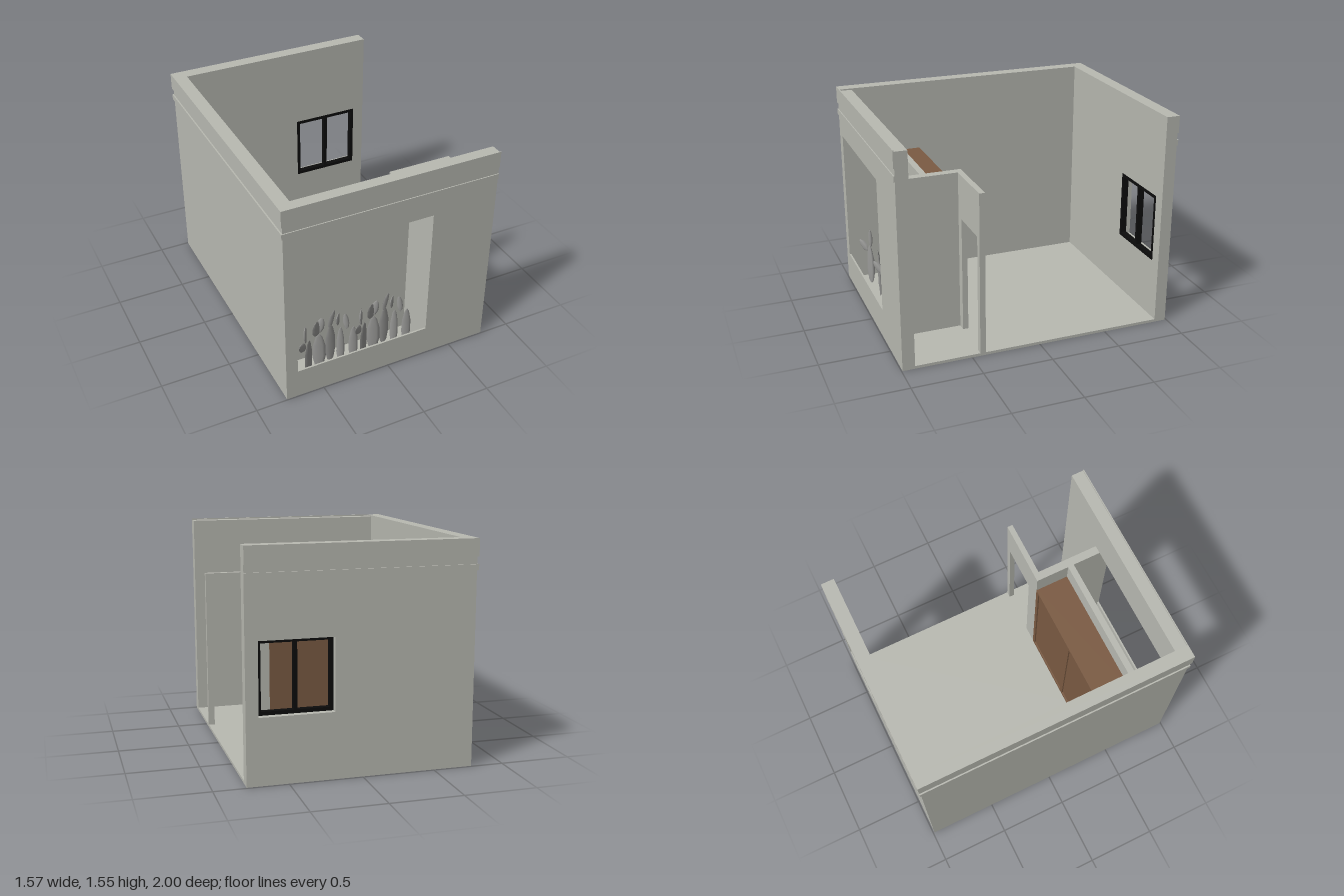
import * as THREE from 'three';

const mat = (name, color) => {
  const m = new THREE.MeshStandardMaterial({ color });
  m.name = name;
  return m;
};

export function createModel() {
  const root = new THREE.Group();
  root.name = 'roomCutaway';
  const plaster = mat('plaster', 0xb9bab2);
  const wood = mat('wood', 0x7b5b43);
  const black = mat('frameBlack', 0x0c0c0c);
  const foliage = mat('greyFoliage', 0x9a9a98);

  const add = (name, geo, m, parent = root) => {
    const mesh = new THREE.Mesh(geo, m);
    mesh.name = name;
    parent.add(mesh);
    return mesh;
  };
  // Box given by its minimum and maximum corners
  const box = (name, m, x0, x1, y0, y1, z0, z1, parent) => {
    const mesh = add(name, new THREE.BoxGeometry(x1 - x0, y1 - y0, z1 - z0), m, parent);
    mesh.position.set((x0 + x1) / 2, (y0 + y1) / 2, (z0 + z1) / 2);
    return mesh;
  };
  const rect = (x0, x1, y0, y1) => [[x0, y0], [x1, y0], [x1, y1], [x0, y1]];
  const vecs = (pts) => pts.map(([x, y]) => new THREE.Vector2(x, y));
  // Upright panel with rectangular openings, between z0 and z1
  const panel = (name, m, outline, holes, z0, z1, parent) => {
    const shape = new THREE.Shape(vecs(outline));
    holes.forEach((h) => shape.holes.push(new THREE.Path(vecs(h))));
    const geo = new THREE.ExtrudeGeometry(shape, { depth: z1 - z0, bevelEnabled: false });
    add(name, geo.translate(0, 0, z0), m, parent);
  };

  // Floor, with a narrow gap left behind the front sill
  box('floor', plaster, -0.69, 0.78, 0, 0.02, -0.905, 0.905);
  box('nicheFloor', plaster, -0.69, 0.3, 0, 0.02, 0.905, 0.94);

  // Outer walls
  box('sideWall', plaster, -0.775, -0.69, 0, 1.55, -0.99, 0.993);
  const win = [0.19, 0.695, 0.455, 0.95];
  panel('backWall', plaster, rect(-0.69, 0.78, 0, 1.55), [rect(...win)], -0.99, -0.905);
  panel('frontWall', plaster,
    [[-0.69, 1.19], [0.3, 1.19], [0.3, 0], [0.78, 0], [0.78, 1.54], [-0.69, 1.54]], [], 0.905, 0.993);
  box('frontSill', plaster, -0.69, 0.3, 0, 0.22, 0.98, 0.993);

  // Two raised bands around the outside
  for (const [y0, y1] of [[1.34, 1.38], [1.43, 1.55]]) {
    box('frontBand', plaster, -0.785, 0.78, y0, y1, 0.993, 1);
    box('backBand', plaster, -0.785, 0.78, y0, y1, -1, -0.99);
    box('sideBand', plaster, -0.785, -0.775, y0, y1, -0.99, 0.993);
  }

  // Inner partitions
  box('nicheBackWall', plaster, -0.69, 0.3, 0.02, 1.19, 0.65, 0.695);
  box('sidePartition', plaster, 0.3, 0.36, 0.02, 1.19, 0.402, 0.905);
  panel('doorWall', plaster,
    [[0.36, 0.02], [0.42, 0.02], [0.42, 0.87], [0.735, 0.87], [0.735, 0.02],
      [0.78, 0.02], [0.78, 1.19], [0.36, 1.19]], [], 0.402, 0.442);

  // Wardrobe with two framed doors
  const wardrobe = new THREE.Group();
  wardrobe.name = 'wardrobe';
  root.add(wardrobe);
  box('wardrobeBody', wood, -0.69, 0.3, 0.02, 1.03, 0.41, 0.65, wardrobe);
  panel('doorFrames', wood, rect(-0.69, 0.3, 0.02, 1.03),
    [rect(-0.66, -0.212, 0.05, 1.0), rect(-0.178, 0.27, 0.05, 1.0)], 0.4, 0.41, wardrobe);

  // Window frame with a centre mullion
  const [wx0, wx1, wy0, wy1] = win, mid = (wx0 + wx1) / 2, t = 0.025;
  panel('windowFrame', black, rect(...win),
    [rect(wx0 + t, mid - t / 2, wy0 + t, wy1 - t), rect(mid + t / 2, wx1 - t, wy0 + t, wy1 - t)],
    -0.945, -0.904);

  // Faceted, pointed plant paddle standing on its base
  const paddleGeo = new THREE.SphereGeometry(1, 6, 5);
  const p = paddleGeo.attributes.position;
  for (let i = 0; i < p.count; i++) {
    const y = p.getY(i), taper = 1 - 0.25 * Math.max(0, y);
    p.setXYZ(i, p.getX(i) * taper, y + 1, p.getZ(i) * taper + 0.5 * y * y);
  }
  paddleGeo.computeVertexNormals();

  // Paddles of one clump: x, base y, z, half width, height, yaw, lean
  const paddles = [
    [-0.55, 0.01, 0.86, 0.045, 0.33, 0.5, 0],
    [-0.58, 0.28, 0.87, 0.035, 0.11, 0.6, 0.8],
    [-0.57, 0.31, 0.85, 0.018, 0.15, 0.9, 0],
    [-0.45, 0.01, 0.82, 0.05, 0.32, -0.3, 0],
    [-0.445, 0.28, 0.78, 0.05, 0.13, 0.5, 0.15],
    [-0.43, 0.29, 0.77, 0.03, 0.14, -0.6, -0.2],
    [-0.35, 0.01, 0.79, 0.045, 0.34, 0.1, 0],
    [-0.36, 0.32, 0.79, 0.03, 0.14, 0.4, -0.4],
    [-0.3, 0.01, 0.85, 0.03, 0.35, -0.4, 0],
    [-0.3, 0.33, 0.8, 0.03, 0.1, 0.8, -0.15],
    [-0.24, 0.3, 0.83, 0.022, 0.14, -0.5, 0.1],
    [-0.2, 0.01, 0.85, 0.035, 0.32, -0.3, 0],
  ];
  const plants = new THREE.Group();
  plants.name = 'plants';
  root.add(plants);
  for (const shift of [0, 0.425]) {
    for (const [x, y, z, w, h, yaw, lean] of paddles) {
      const leaf = add('paddle', paddleGeo, foliage, plants);
      leaf.position.set(x + shift, y, z);
      leaf.rotation.set(0, yaw, lean);
      leaf.scale.set(w, h / 2, 0.012);
    }
  }
  return root;
}
